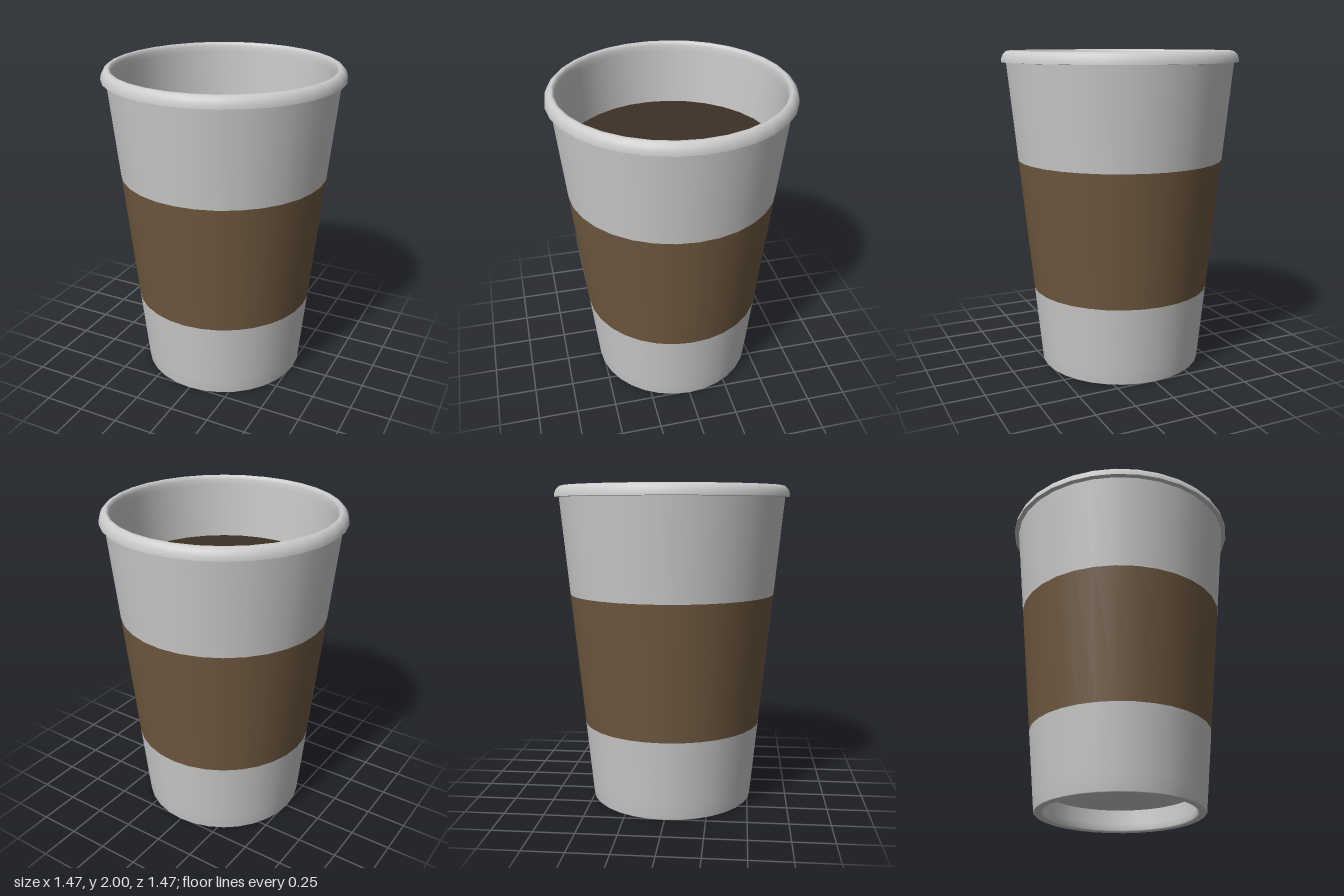
import * as THREE from 'three';

const SEGMENTS = 32;

// Outer radius of the tapered wall at height y
const wall = (y) => 0.515 + 0.0985 * y;

function lathe(name, profile, color) {
  const points = profile.map(([r, y]) => new THREE.Vector2(r, y));
  const material = new THREE.MeshStandardMaterial({ color, side: THREE.DoubleSide });
  const mesh = new THREE.Mesh(new THREE.LatheGeometry(points, SEGMENTS), material);
  mesh.name = name;
  return mesh;
}

export function createModel() {
  const cup = new THREE.Group();
  cup.name = 'paperCup';

  // Recessed base, foot ring and lower wall (repeated points make a crease)
  cup.add(lathe('baseAndLowerWall', [
    [0, 0.14], [0.47, 0.14], [0.47, 0.14],
    [0.465, 0.05], [0.46, 0.008], [0.47, 0], [0.51, 0],
    [wall(0.005), 0.005], [wall(0.1), 0.1], [wall(0.1), 0.1], [wall(0.5), 0.5],
  ], 0xcccccc));

  // Sleeve band, flush with the wall
  cup.add(lathe('sleeve', [[wall(0.5), 0.5], [wall(1.33), 1.33]], 0x6f5940));

  // Upper wall, rolled rim and inner wall
  cup.add(lathe('upperWallAndRim', [
    [wall(1.33), 1.33], [wall(1.93), 1.93], [wall(1.93), 1.93],
    [0.735, 1.932], [0.735, 1.932], [0.733, 1.955], [0.722, 1.98],
    [0.705, 1.996], [0.69, 2], [0.678, 1.994], [0.671, 1.975],
    [0.668, 1.94], [0.655, 1.585],
  ], 0xcccccc));

  // Coffee surface
  const coffee = new THREE.Mesh(
    new THREE.CircleGeometry(0.657, SEGMENTS).rotateX(-Math.PI / 2),
    new THREE.MeshStandardMaterial({ color: 0x3d3126, side: THREE.DoubleSide })
  );
  coffee.name = 'coffee';
  coffee.position.y = 1.59;
  cup.add(coffee);

  return cup;
}
